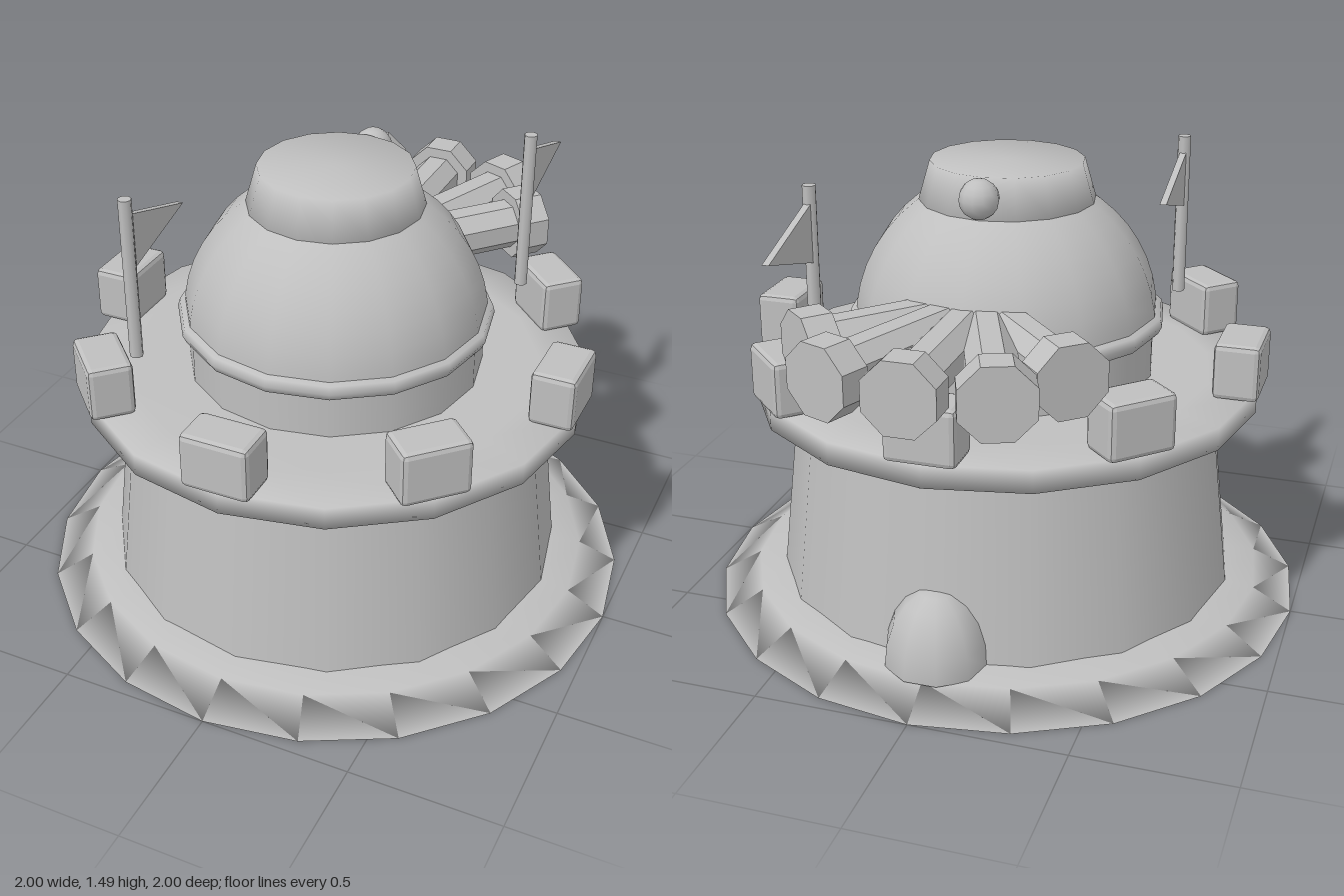
import * as THREE from 'three';
import { RoundedBoxGeometry } from 'three/addons/geometries/RoundedBoxGeometry.js';

export function createModel() {
  const root = new THREE.Group();
  root.name = 'domedTower';
  const stone = new THREE.MeshStandardMaterial({ color: 0xbfbfbf });
  stone.name = 'stone grey';
  const facetedStone = stone.clone();
  facetedStone.name = 'stone grey faceted';
  facetedStone.flatShading = true;

  const add = (name, geometry, parent = root, material = stone) => {
    const mesh = new THREE.Mesh(geometry, material);
    mesh.name = name;
    parent.add(mesh);
    return mesh;
  };
  // Profiles run from the bottom up as [radius, y]
  const lathe = (name, profile, sides = 16) =>
    add(name, new THREE.LatheGeometry(profile.map(([r, y]) => new THREE.Vector2(r, y)), sides));

  // Tower body
  lathe('baseSkirt', [[0, 0], [1, 0], [0.87, 0.07], [0.75, 0.085]], 20);
  lathe('towerWall', [[0.775, 0.07], [0.7, 0.72]]);
  lathe('deck', [[0.66, 0.71], [0.84, 0.71], [0.84, 0.785], [0.68, 0.795], [0, 0.795]]);

  // Domed turret
  lathe('turretDrum', [[0.49, 0.78], [0.49, 0.95]]);
  lathe('turretBand', [[0.48, 0.935], [0.51, 0.945], [0.522, 0.97], [0.515, 0.995], [0.48, 1.005]]);
  const dome = [];
  for (let i = 0; i <= 8; i++) {
    const a = (i / 8) * 1.05;
    dome.push([0.5 * Math.cos(a), 0.95 + 0.5 * Math.sin(a)]);
  }
  lathe('dome', dome);
  lathe('cap', [[0.22, 1.355], [0.287, 1.36], [0.25, 1.487], [0, 1.487]]);
  add('capKnob', new THREE.SphereGeometry(0.064, 12, 8)).position.set(0, 1.43, -0.29);

  // Ring of battlement blocks
  const battlements = new THREE.Group();
  battlements.name = 'battlements';
  root.add(battlements);
  for (let i = 0; i < 8; i++) {
    const a = (i * Math.PI) / 4;
    const block = add('battlementBlock', new RoundedBoxGeometry(0.228, 0.185, 0.148, 1, 0.018), battlements, facetedStone);
    block.position.set(0.785 * Math.sin(a), 0.88, 0.785 * Math.cos(a));
    block.rotation.y = a;
  }

  // Two pennants, both streaming backward
  const pennant = new THREE.Shape([
    new THREE.Vector2(0, 1.24), new THREE.Vector2(0.32, 1.33), new THREE.Vector2(0, 1.435),
  ]);
  for (const s of [-1, 1]) {
    const flag = new THREE.Group();
    flag.name = s > 0 ? 'leftFlag' : 'rightFlag';
    flag.position.set(s * 0.477, 0, -s * 0.478);
    root.add(flag);
    add('flagPole', new THREE.CylinderGeometry(0.022, 0.022, 0.55, 8), flag).position.y = 1.21;
    const cloth = add('flagCloth', new THREE.ExtrudeGeometry(pennant, { depth: 0.022, bevelEnabled: false }), flag);
    cloth.rotation.y = Math.PI / 2;
    cloth.position.x = -0.011;
  }

  // Fan of eight-sided cannons at the back
  const fan = new THREE.Group();
  fan.name = 'cannonFan';
  fan.position.set(0, 1.053, -0.26);
  root.add(fan);
  const octagon = (r, from, to) => {
    const g = new THREE.CylinderGeometry(r, r, to - from, 8);
    g.rotateY(Math.PI / 8);
    g.translate(0, (from + to) / 2, 0);
    g.rotateX(-Math.PI / 2);
    return g;
  };
  for (const [degrees, length] of [[0, 0.74], [21.5, 0.74], [-21.5, 0.74], [42, 0.635], [-42, 0.635]]) {
    const cannon = new THREE.Group();
    cannon.name = 'cannon';
    cannon.rotation.y = THREE.MathUtils.degToRad(degrees);
    fan.add(cannon);
    add('barrel', octagon(0.084, 0.1, length - 0.05), cannon, facetedStone);
    add('muzzle', octagon(0.122, length - 0.1, length), cannon, facetedStone);
  }

  // Rounded hump at the foot of the back wall
  const hump = add('rearHump', new THREE.SphereGeometry(1, 10, 8));
  hump.scale.set(0.17, 0.25, 0.165);
  hump.position.set(0, 0.07, -0.73);
  // Trim the lower half so nothing dips beneath the skirt
  hump.geometry = new THREE.SphereGeometry(1, 10, 5, 0, Math.PI * 2, 0, Math.PI / 2);

  return root;
}
